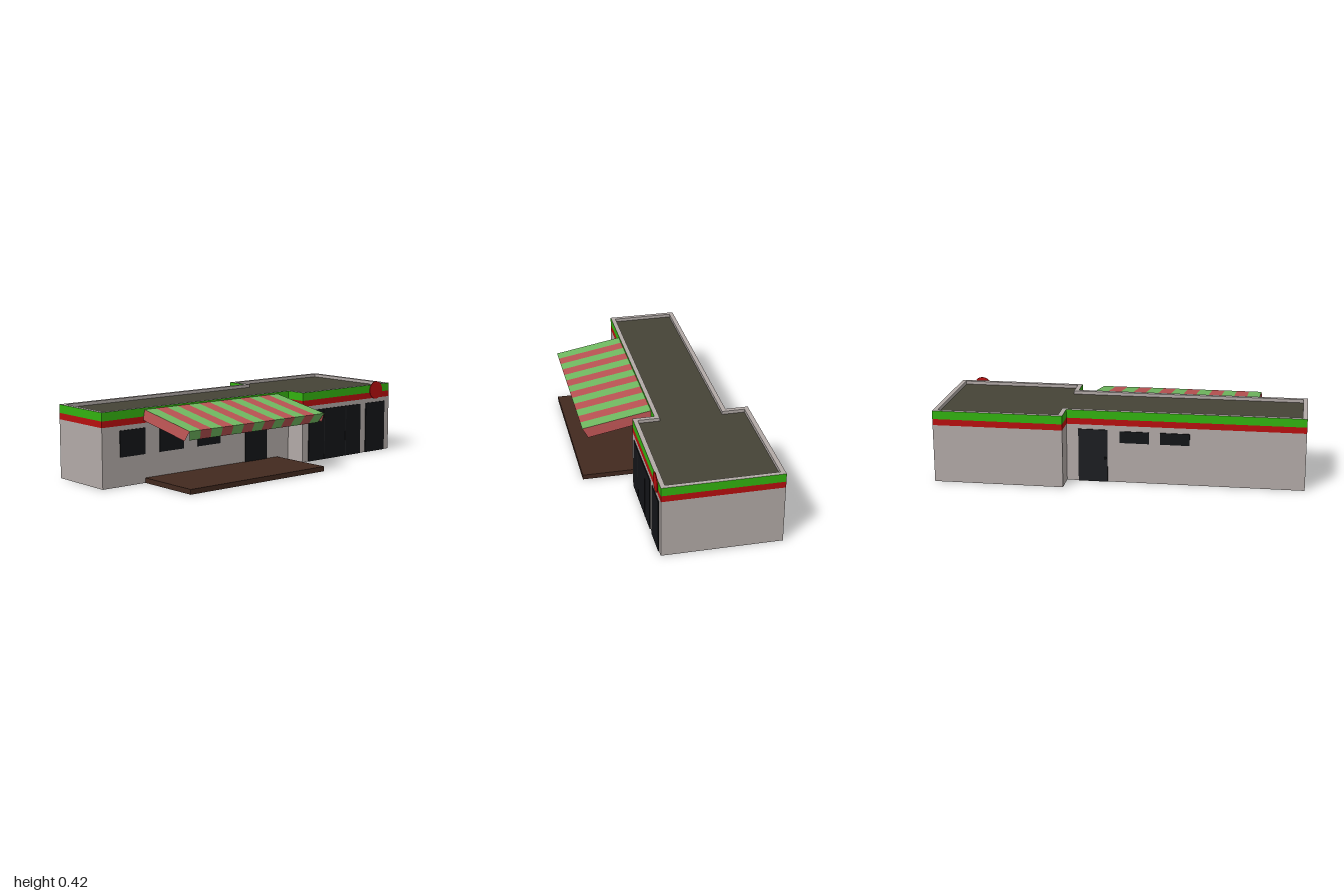
import * as THREE from 'three';

const mat = (color) => new THREE.MeshStandardMaterial({ color, side: THREE.DoubleSide });
const WALL = mat(0xb2aaa7), RED = mat(0xb80f0f), GREEN = mat(0x33b210), ROOF = mat(0x454336);
const GLASS = mat(0x131518), FRAME = mat(0x1d1e21), WOOD = mat(0x42291f);
const CLOTH_GREEN = mat(0x70b860), CLOTH_RED = mat(0xb85252);

// Flat-shaded surface from a list of four-cornered faces
function quads(list) {
  const pos = [];
  for (const [a, b, c, d] of list) pos.push(...a, ...b, ...c, ...a, ...c, ...d);
  const g = new THREE.BufferGeometry();
  g.setAttribute('position', new THREE.Float32BufferAttribute(pos, 3));
  g.computeVertexNormals();
  return g;
}

// Building footprint [x, z], shrunk by t
const outline = (t) => [
  [-1 + t, -0.33 + t], [0.29 + t, -0.33 + t], [0.29 + t, -0.455 + t], [1 - t, -0.455 + t],
  [1 - t, 0.185 - t], [0.29 + t, 0.185 - t], [0.29 + t, 0.065 - t], [-1 + t, 0.065 - t],
];

// Upright band following a footprint
const band = (pts, y0, y1) => quads(pts.map(([x, z], i) => {
  const [u, w] = pts[(i + 1) % pts.length];
  return [[x, y0, z], [x, y1, z], [u, y1, w], [u, y0, w]];
}));

// Level surface, optionally with a hole
function slab(pts, hole) {
  const v = (p) => p.map(([x, z]) => new THREE.Vector2(x, -z));
  const s = new THREE.Shape(v(pts));
  if (hole) s.holes.push(new THREE.Path(v(hole)));
  return new THREE.ShapeGeometry(s).rotateX(-Math.PI / 2);
}

export function createModel() {
  const root = new THREE.Group();
  const add = (name, geometry, material, parent = root) => {
    const m = new THREE.Mesh(geometry, material);
    m.name = name;
    parent.add(m);
    return m;
  };
  const box = (name, x0, x1, y0, y1, z0, z1, material, parent) =>
    add(name, new THREE.BoxGeometry(x1 - x0, y1 - y0, z1 - z0), material, parent)
      .position.set((x0 + x1) / 2, (y0 + y1) / 2, (z0 + z1) / 2);

  // Hollow shell: walls, painted bands, parapet and sunken roof
  const outer = outline(0), inner = outline(0.025), roofY = 0.382;
  add('walls', band(outer, 0, 0.32), WALL);
  add('redBand', band(outer, 0.32, 0.354), RED);
  add('greenBand', band(outer, 0.354, 0.4), GREEN);
  add('parapetTop', slab(outer, inner).translate(0, 0.4, 0), WALL);
  add('parapetInside', band([...inner].reverse(), roofY, 0.4), WALL);
  add('roof', slab(inner).translate(0, roofY, 0), ROOF);

  // Windows and doors: name, x range, y range, wall z
  const openings = [
    ['frontWindow', -0.89, -0.73, 0.155, 0.295, 0.065],
    ['frontWindow', -0.635, -0.475, 0.155, 0.295, 0.065],
    ['frontWindow', -0.38, -0.22, 0.155, 0.295, 0.065],
    ['frontDoor', -0.04, 0.12, 0, 0.295, 0.065],
    ['shopWindow', 0.335, 0.755, 0, 0.295, 0.185],
    ['shopDoor', 0.8, 0.96, 0, 0.295, 0.185],
    ['backWindow', -0.38, -0.22, 0.225, 0.29, -0.33],
    ['backWindow', -0.16, 0, 0.225, 0.29, -0.33],
    ['backDoor', 0.065, 0.225, 0, 0.295, -0.33],
  ];
  for (const [name, x0, x1, y0, y1, z] of openings) {
    box(name, x0, x1, y0, y1, z - 0.005, z + 0.005, name === 'backDoor' ? FRAME : GLASS);
  }
  for (const x of [0.458, 0.632]) box('shopWindowBar', x - 0.003, x + 0.003, 0, 0.295, 0.188, 0.191, FRAME);
  box('backDoorHandle', 0.072, 0.084, 0.13, 0.142, -0.345, -0.335, GLASS);

  // Terrace deck
  box('terrace', -0.73, 0.205, 0, 0.027, 0.065, 0.45, WOOD);

  // Striped awning: sloping top, tapered front flap, flared side flaps
  const awning = new THREE.Group();
  awning.name = 'awning';
  root.add(awning);
  const x0 = -0.73, x1 = 0.207, n = 13;
  const stripes = [[], []];
  for (let i = 0; i < n; i++) {
    const [a, b] = [i / n, (i + 1) / n].map((t) => x0 + (x1 - x0) * t);
    const [c, d] = [i / n, (i + 1) / n].map((t) => x0 + 0.02 + (x1 - x0 - 0.04) * t);
    stripes[i % 2].push(
      [[a, 0.39, 0.066], [a, 0.322, 0.445], [b, 0.322, 0.445], [b, 0.39, 0.066]],
      [[a, 0.322, 0.445], [c, 0.27, 0.415], [d, 0.27, 0.415], [b, 0.322, 0.445]],
    );
  }
  add('awningGreenStripes', quads(stripes[0]), CLOTH_GREEN, awning);
  add('awningRedStripes', quads(stripes[1]), CLOTH_RED, awning);
  for (const [x, s] of [[x0, -1], [x1, 1]]) {
    const o = x + s * 0.01;
    const flap = [[x, 0.39, 0.066], [x, 0.322, 0.445], [o, 0.27, 0.415], [o, 0.335, 0.066]];
    add('awningSideFlap', quads([s < 0 ? flap : flap.reverse()]), CLOTH_RED, awning);
  }

  // Round sign above the shop door
  const sign = add('roundSign', new THREE.CylinderGeometry(0.052, 0.052, 0.004, 32).rotateX(Math.PI / 2), RED);
  sign.position.set(0.885, 0.367, 0.188);

  return root;
}
